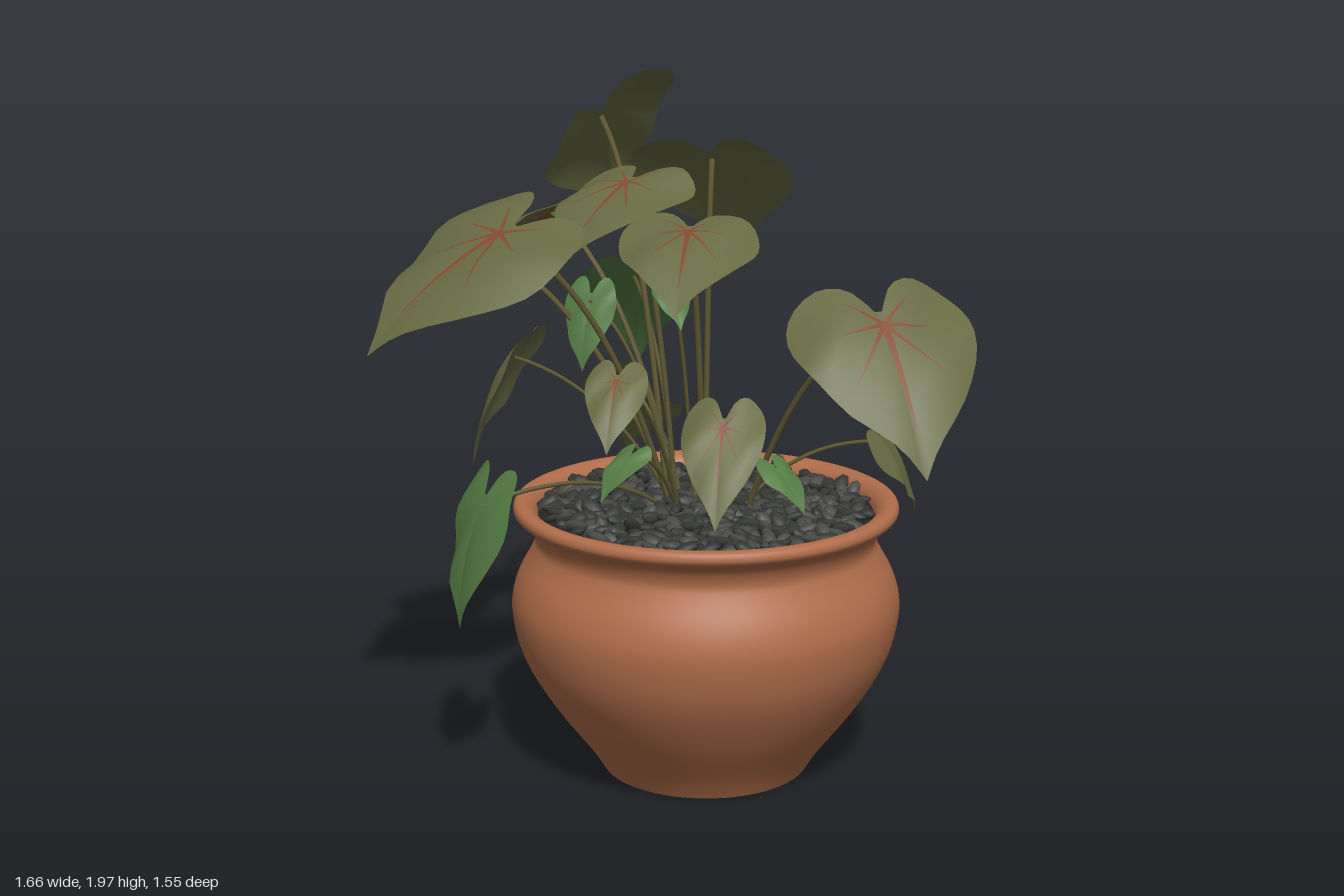
import * as THREE from 'three';
import { mergeGeometries } from 'three/addons/utils/BufferGeometryUtils.js';

const mat = (name, color, double) => {
  const m = new THREE.MeshStandardMaterial({ color });
  m.name = name;
  if (double) m.side = THREE.DoubleSide;
  return m;
};
const V = (x, y, z) => new THREE.Vector3(x, y, z);
const POT_X = 0.1, POT_Z = 0.22;

// heart-shaped half outline: u runs along the midrib, v is a share of the half width
const half = new THREE.SplineCurve([
  [1, 0], [0.82, 0.2], [0.55, 0.62], [0.25, 0.93], [0, 1], [-0.2, 0.87],
  [-0.33, 0.55], [-0.29, 0.25], [-0.1, 0.04],
].map(([u, v]) => new THREE.Vector2(u, v))).getPoints(20);
const OUTLINE = [...half, ...half.slice(1).reverse().map(p => new THREE.Vector2(p.x, -p.y))];

// maps leaf coordinates (u, v, lift) to a gently arched surface;
// heading 0 points to the front, 90 to +x; droop tips the leaf down; roll turns it about its midrib
function leafSurface(base, heading, droop, roll, length, width, seed) {
  const [h, p, r] = [heading, droop, roll].map(THREE.MathUtils.degToRad);
  const d = V(Math.sin(h) * Math.cos(p), -Math.sin(p), Math.cos(h) * Math.cos(p));
  const level = V(Math.cos(h), 0, -Math.sin(h));
  const n = d.clone().cross(level).applyAxisAngle(d, r);
  const side = n.clone().cross(d);
  return (u, v, lift = 0) => {
    const wave = 0.04 * Math.sin(u * 7 + v * 4 + seed);
    const rise = length * (0.24 * (u - u * u) - wave * Math.abs(v))
      + width * (0.07 * Math.abs(v) - 0.16 * v * v);
    return base.clone().addScaledVector(d, u * length)
      .addScaledVector(side, v * width / 2).addScaledVector(n, rise + lift);
  };
}

function fromGrid(points, index) {
  const g = new THREE.BufferGeometry();
  g.setFromPoints(points);
  g.setIndex(index);
  g.computeVertexNormals();
  return g;
}

// blade as rings growing from the stalk joint to the outline
function bladeGeometry(surf) {
  const rings = 5, n = OUTLINE.length, pts = [surf(0, 0)], idx = [];
  for (let r = 1; r <= rings; r++)
    for (const p of OUTLINE) pts.push(surf(p.x * r / rings, p.y * r / rings));
  const at = (r, i) => (r === 0 ? 0 : 1 + (r - 1) * n + (i % n));
  for (let r = 0; r < rings; r++)
    for (let i = 0; i < n; i++) {
      idx.push(at(r, i), at(r + 1, i), at(r + 1, i + 1));
      if (r > 0) idx.push(at(r, i), at(r + 1, i + 1), at(r, i + 1));
    }
  return fromGrid(pts, idx);
}

// tapering vein strips just off both faces of the blade
const VEINS = [[0.7, 0]];
for (const s of [1, -1]) VEINS.push([0.38, 0.48 * s], [0.05, 0.5 * s], [-0.18, 0.35 * s]);
function veinGeometry(surf) {
  const strips = [], steps = 6;
  for (const lift of [0.004, -0.004])
    for (const [eu, ev] of VEINS) {
      const len = Math.hypot(eu, ev), pts = [], idx = [];
      for (let i = 0; i <= steps; i++) {
        const t = i / steps, w = (ev ? 0.016 : 0.026) * (1 - t * 0.9);
        const du = -ev / len * w, dv = eu / len * w * 1.8;
        pts.push(surf(eu * t + du, ev * t + dv, lift), surf(eu * t - du, ev * t - dv, lift));
        const a = i * 2;
        if (i < steps) idx.push(a, a + 1, a + 2, a + 1, a + 3, a + 2);
      }
      strips.push(fromGrid(pts, idx));
    }
  return mergeGeometries(strips);
}

// name, joint x, y, z, heading, length, then droop and roll where they differ from the usual
const BROAD = [
  ['frontLeftLeaf', 0.58, 1.36, 0.49, 22, 0.46, 52, 6],
  ['frontRightLeaf', -0.47, 1.57, 0.29, -66, 0.5, 39, -13],
  ['centreLeaf', 0.05, 1.57, 0.24, -6, 0.35, 33],
  ['innerRightLeaf', -0.13, 1.68, 0.05, -36, 0.36, 34],
  ['outerRightLeaf', -0.61, 1.51, -0.03, -115, 0.31],
  ['backRightLeaf', -0.37, 1.56, -0.19, -123, 0.42],
];
const BROAD_PLAIN = [
  ['tallBackLeaf', -0.23, 1.82, -0.4, 171, 0.49, 40, -47],
  ['backLeftLeaf', 0.11, 1.73, -0.09, 168, 0.47, 46],
];
const OLIVE = [
  ['lowFrontLeaf', 0.15, 1.06, 0.44, -7, 0.3, 57],
  ['midFrontLeaf', -0.14, 1.2, 0.49, -9, 0.22, 52],
];
const OLIVE_PLAIN = [
  ['leftSideLeaf', 0.62, 0.93, 0.07, 142, 0.3, 57, 48],
  ['rightSideLeaf', -0.46, 1.17, 0.05, -67, 0.34, 67, 33],
  ['innerBackLeaf', -0.18, 1.12, -0.06, -153, 0.22],
  ['lowBackLeaf', -0.08, 0.98, -0.1, -157, 0.25],
];
const GREEN = [
  ['backGreenLeaf', -0.13, 1.34, -0.34, 180, 0.44, 49],
  ['droopingGreenLeaf', -0.51, 0.86, 0.54, -56, 0.35, 78],
  ['leftSmallLeaf', 0.3, 0.94, 0.42, 40, 0.16],
  ['rightSmallLeaf', -0.11, 0.97, 0.42, -39, 0.16],
  ['centreSmallLeaf', 0, 1.4, 0.22, 18, 0.14],
  ['innerGreenLeaf', -0.24, 1.34, 0.05, -22, 0.21, 75],
];

export function createModel() {
  const model = new THREE.Group();
  const terracotta = mat('terracotta', 0xb06d4a);
  const soil = mat('soil', 0x262624);
  const stones = [mat('darkStone', 0x343633), mat('greyStone', 0x474843)];
  const olive = mat('oliveLeaf', 0x676a42, true);
  const green = mat('greenLeaf', 0x537a42, true);
  const red = mat('redVein', 0x84492f, true);
  const stalk = mat('stalk', 0x5c5530);
  const add = (name, geometry, material, parent = model) => {
    const m = new THREE.Mesh(geometry, material);
    m.name = name;
    parent.add(m);
    return m;
  };

  // pot: flat foot, round belly, narrow neck, flared rim and inner wall
  const wall = new THREE.SplineCurve([
    [0.3, 0], [0.345, 0.07], [0.45, 0.21], [0.53, 0.35], [0.56, 0.48], [0.545, 0.57], [0.503, 0.65],
    [0.49, 0.69], [0.508, 0.735], [0.547, 0.765], [0.552, 0.785], [0.54, 0.799], [0.51, 0.796],
    [0.485, 0.77], [0.475, 0.72],
  ].map(p => new THREE.Vector2(...p))).getPoints(56);
  add('pot', new THREE.LatheGeometry(wall, 64), terracotta).position.set(POT_X, 0, POT_Z);
  const foot = add('potBottom', new THREE.CircleGeometry(0.3, 64), terracotta);
  foot.rotation.x = Math.PI / 2;
  foot.position.set(POT_X, 0.001, POT_Z);
  const bed = add('soil', new THREE.CircleGeometry(0.483, 48), soil);
  bed.rotation.x = -Math.PI / 2;
  bed.position.set(POT_X, 0.76, POT_Z);

  // pebbles scattered in a sunflower pattern over the soil
  let seed = 7;
  const rnd = () => (seed = (seed * 16807) % 2147483647) / 2147483647;
  const piles = [[], []], COUNT = 460;
  for (let i = 0; i < COUNT; i++) {
    const r = 0.465 * Math.sqrt((i + 0.5) / COUNT), a = i * 2.39996;
    const s = 0.75 + rnd() * 0.6;
    const m = new THREE.Matrix4().compose(
      V(POT_X + r * Math.cos(a), 0.768 + rnd() * 0.016, POT_Z + r * Math.sin(a)),
      new THREE.Quaternion().setFromEuler(new THREE.Euler(rnd() * 1.4 - 0.7, rnd() * 6.28, rnd() - 0.5)),
      V(0.033 * s, 0.013 * s, 0.019 * s));
    piles[rnd() < 0.65 ? 0 : 1].push(new THREE.SphereGeometry(1, 7, 5).applyMatrix4(m));
  }
  piles.forEach((p, i) => add(i ? 'greyPebbles' : 'darkPebbles', mergeGeometries(p), stones[i]));

  // leaves, each on its own arching stalk
  const addLeaves = (list, material, spread, veined, thickness) =>
    list.forEach(([name, x, y, z, heading, length, droop = 43, roll = 0], i) => {
      const group = new THREE.Group();
      group.name = name;
      model.add(group);
      const base = V(x, y, z);
      const surf = leafSurface(base, heading, droop, roll, length, length * spread, i * 1.7);
      add('blade', bladeGeometry(surf), material, group);
      if (veined) add('veins', veinGeometry(surf), red, group);

      const reach = THREE.MathUtils.clamp((x - 0.04) * 0.3, -0.08, 0.16);
      const root = V(0.06 + reach + (i % 3) * 0.015, 0.76, 0.14 + (z - 0.14) * 0.22);
      const bend = root.clone().lerp(base, 0.38);
      bend.y = Math.max(0.95, 0.76 + (y - 0.76) * 0.82);
      const path = new THREE.QuadraticBezierCurve3(root, bend, base);
      add('stalk', new THREE.TubeGeometry(path, 16, thickness, 6), stalk, group);
    });
  addLeaves(BROAD, olive, 1.12, true, 0.009);
  addLeaves(BROAD_PLAIN, olive, 1, false, 0.009);
  addLeaves(OLIVE, olive, 0.78, true, 0.006);
  addLeaves(OLIVE_PLAIN, olive, 0.8, false, 0.006);
  addLeaves(GREEN, green, 0.75, false, 0.006);
  return model;
}
